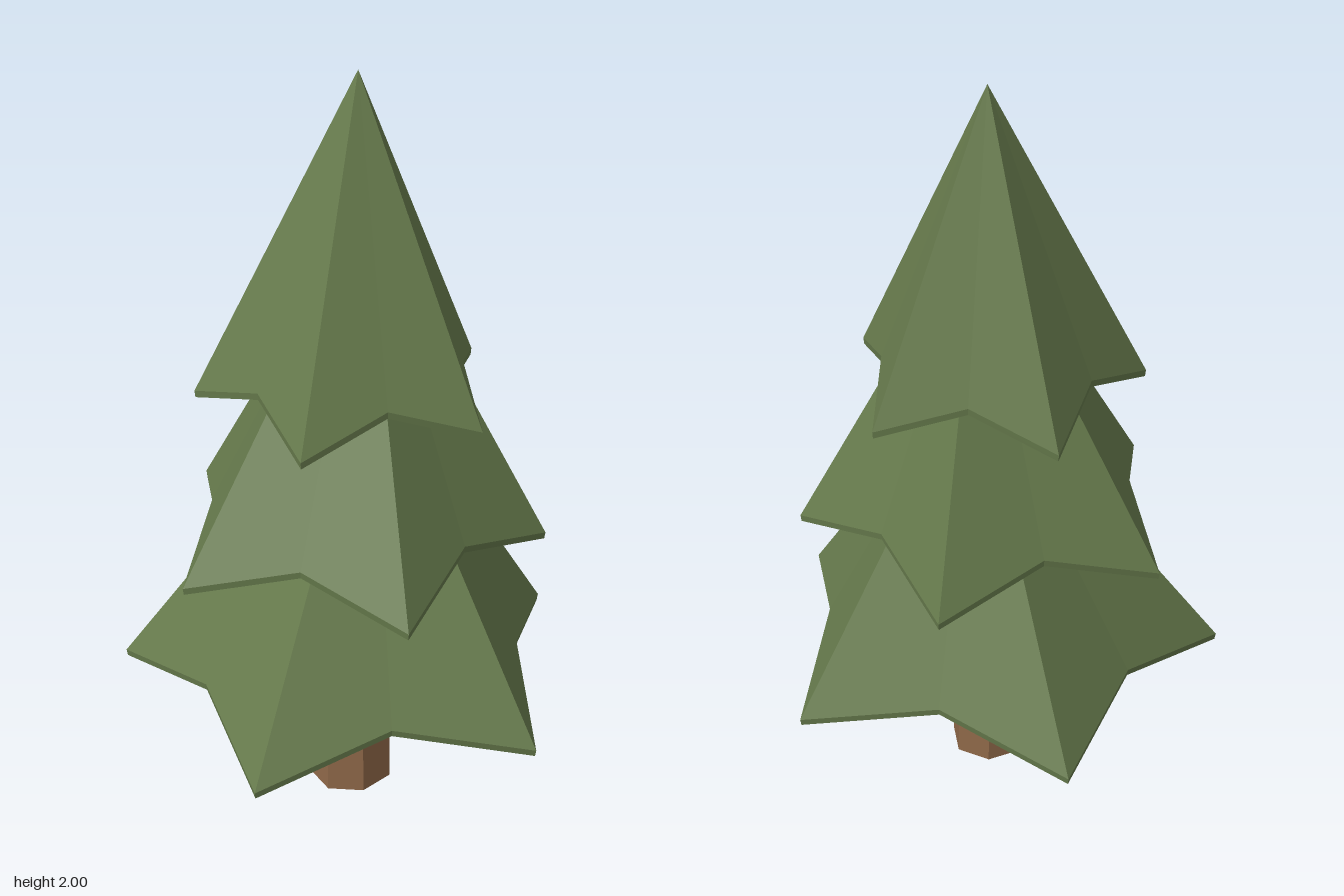
import * as THREE from 'three';

const CENTRE_X = -0.056;
const POINTS = 5;

// Closed shell with a five-pointed skirt: outer faces, thin rim, hollow inside.
function branchTier({ radius, notch, start, tipY, notchY, apex }) {
  const rim = 0.018;
  const ring = (scale, drop) => {
    const out = [];
    for (let i = 0; i < POINTS * 2; i++) {
      const a = THREE.MathUtils.degToRad(start) + (i * Math.PI) / POINTS;
      const r = (i % 2 ? notch : radius) * scale;
      const y = (i % 2 ? notchY : tipY) - drop;
      out.push(new THREE.Vector3(CENTRE_X + r * Math.cos(a), y, r * Math.sin(a)));
    }
    return out;
  };
  const top = ring(1, 0);
  const low = ring(0.995, rim);
  const inner = ring(0.96, rim);
  const peak = new THREE.Vector3(...apex);
  const innerPeak = new THREE.Vector3(apex[0], apex[1] - 0.07, apex[2]);

  const pos = [];
  const tri = (...pts) => pts.forEach((p) => pos.push(p.x, p.y, p.z));
  const quad = (a, b, c, d) => { tri(a, b, c); tri(a, c, d); };
  for (let i = 0; i < POINTS * 2; i++) {
    const j = (i + 1) % (POINTS * 2);
    tri(top[i], peak, top[j]);                 // outer slope
    quad(low[i], top[i], top[j], low[j]);      // rim edge
    quad(inner[i], low[i], low[j], inner[j]);  // rim underside
    tri(inner[j], innerPeak, inner[i]);        // hollow inside
  }
  const g = new THREE.BufferGeometry();
  g.setAttribute('position', new THREE.Float32BufferAttribute(pos, 3));
  g.computeVertexNormals();
  return g;
}

export function createModel() {
  const tree = new THREE.Group();
  tree.name = 'pineTree';

  const green = new THREE.MeshStandardMaterial({ color: 0x667a4c, flatShading: true });
  green.name = 'needleGreen';
  const brown = new THREE.MeshStandardMaterial({ color: 0x8f6849, flatShading: true });
  brown.name = 'barkBrown';

  // Seven-sided trunk, one corner towards +x
  const trunkGeo = new THREE.CylinderGeometry(0.106, 0.115, 0.95, 7);
  trunkGeo.rotateY(Math.PI / 2);
  trunkGeo.scale(1, 1, 0.93);
  trunkGeo.translate(CENTRE_X - 0.003, 0.475, 0);
  const trunk = new THREE.Mesh(trunkGeo, brown);
  trunk.name = 'trunk';
  tree.add(trunk);

  // Branch tiers, each turned and shrunk against the one below
  const tiers = {
    lowerBranches: { radius: 0.616, notch: 0.44, start: 0, tipY: 0.363, notchY: 0.447, apex: [0.01, 1.25, -0.015] },
    middleBranches: { radius: 0.504, notch: 0.36, start: 33.3, tipY: 0.775, notchY: 0.859, apex: [0, 1.66, -0.015] },
    upperBranches: { radius: 0.391, notch: 0.28, start: -5.4, tipY: 1.185, notchY: 1.262, apex: [-0.012, 2, -0.032] },
  };
  for (const [name, spec] of Object.entries(tiers)) {
    const mesh = new THREE.Mesh(branchTier(spec), green);
    mesh.name = name;
    tree.add(mesh);
  }
  return tree;
}
